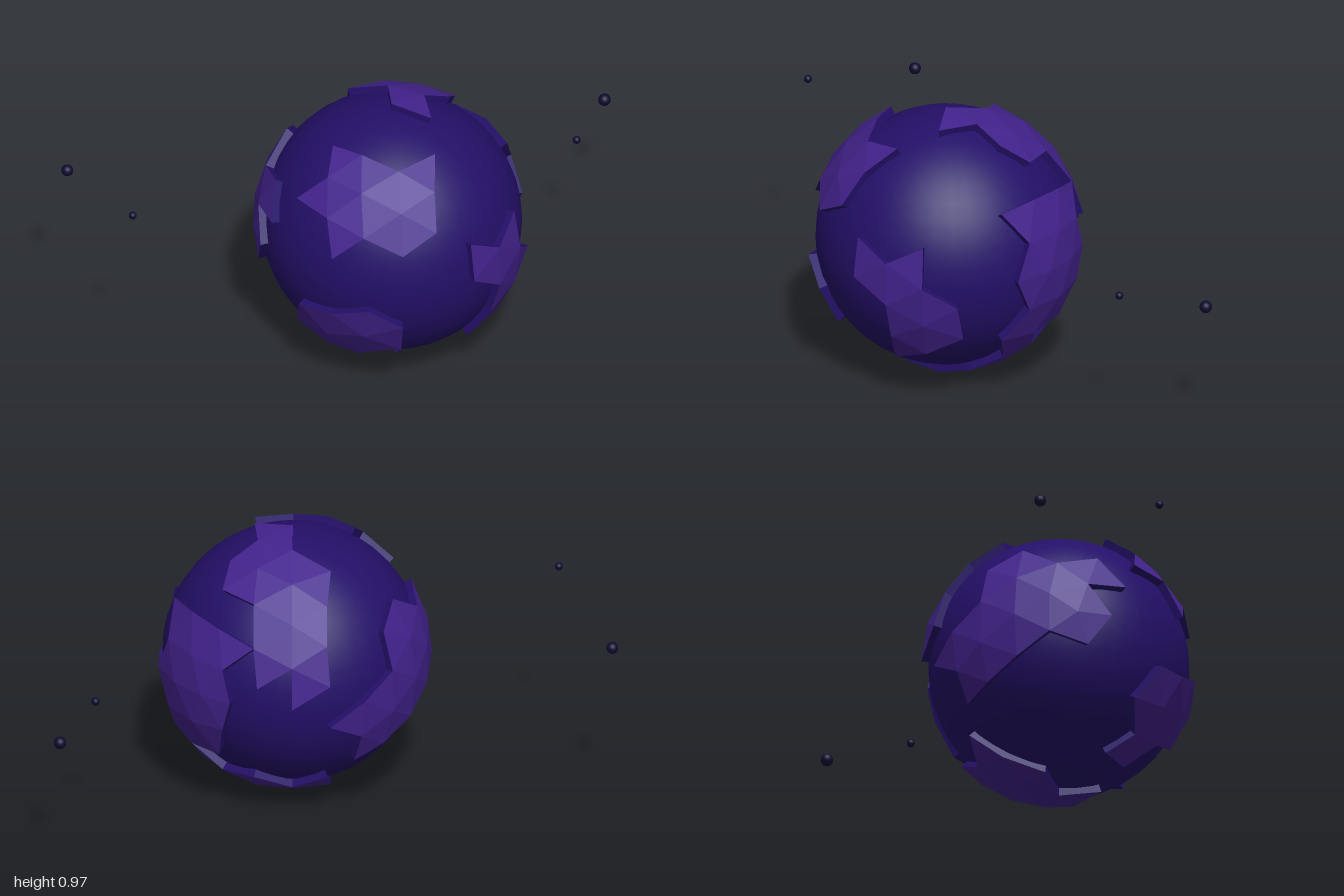
import * as THREE from 'three';

const CENTRE = new THREE.Vector3(-0.08, 0.485, 0.155);
const CORE_R = 0.456, PLATE_R = 0.485;

const coreMat = new THREE.MeshStandardMaterial({ color: 0x240f68 });
const wallMat = new THREE.MeshStandardMaterial({ color: 0x240f68, flatShading: true });
const plateMat = new THREE.MeshStandardMaterial({ color: 0x42228c, flatShading: true });
const moonMat = new THREE.MeshStandardMaterial({ color: 0x0d0a30 });

// Projection planes (right, up, facing) on which the plate outlines are drawn
const plane = (r, u, d) => [r, u, d].map(v => new THREE.Vector3(...v));
const SIDE = plane([0, 0, 1], [0, 1, 0], [1, 0, 0]);
const TOP = plane([1, 0, 0], [0, 0, 1], [0, 1, 0]);
const BOTTOM = plane([1, 0, 0], [0, 0, 1], [0, -1, 0]);
const FRONT = plane([1, 0, 0], [0, 1, 0], [0, 0, 1]);
const BACK = plane([-0.83, 0, 0.55], [0.24, 0.9, 0.37], [-0.5, 0.44, -0.75]);

// Plate outlines on the unit sphere; a plate may join several patches
const PLATES = {
  leftPlate: [
    [SIDE, [[0.3, 0.52], [0, 0.55], [-0.27, 0.55], [-0.58, 0.44], [-0.45, 0.25], [-0.56, 0], [-0.45, -0.25],
      [-0.28, -0.5], [0, -0.5], [0, -0.7], [0.25, -0.72], [0.15, -0.27], [0.29, 0], [0.16, 0.26]]],
    [BOTTOM, [[0.78, 0], [0.61, -0.35], [0.14, -0.7], [-0.24, -0.33], [-0.07, 0.04], [0, 0.27], [0.4, 0.28],
      [0.75, 0.2], [0.82, 0.1]]],
  ],
  topPlate: [[TOP, [[0.03, -0.68], [0.1, -0.35], [0.155, 0.145], [0.4, -0.06], [0.66, 0.145], [0.57, -0.41],
    [0.67, -0.46], [0.69, -0.68], [0.43, -0.9], [0.26, -0.88]]]],
  frontPlate: [[FRONT, [[0.13, 0.28], [0.44, 0.29], [0.57, 0], [0.78, 0], [0.74, -0.42], [0.65, -0.5],
    [0.26, -0.59], [0.26, -0.22], [0, 0.03]]]],
  upperRightPlate: [[TOP, [[-0.53, 0], [-0.3, 0.41], [0.03, 0.7], [-0.22, 0.7], [-0.26, 0.86], [-0.42, 0.88],
    [-0.88, 0.38], [-0.75, 0.03]]]],
  lowerRightPlate: [[FRONT, [[-1.02, -0.26], [-0.46, -0.26], [-0.44, -0.5], [-0.46, -0.88], [-0.62, -0.87],
    [-1.02, -0.3]]]],
  backPlate: [[BACK, [[-0.19, 0.06], [0.6, 0.18], [0.55, -0.18], [0.66, -0.31], [0.51, -0.59], [-0.1, -0.58],
    [-0.26, -0.82], [-0.45, -0.84], [-0.66, -0.57], [-0.58, -0.4], [-0.39, -0.3]]]],
};

function insidePolygon(x, y, poly) {
  let inside = false;
  for (let i = 0, j = poly.length - 1; i < poly.length; j = i++) {
    const [xi, yi] = poly[i], [xj, yj] = poly[j];
    if ((yi > y) !== (yj > y) && x < (xj - xi) * (y - yi) / (yj - yi) + xi) inside = !inside;
  }
  return inside;
}

// All facets of a unit geodesic sphere as triples of points
function geodesicFacets() {
  const p = new THREE.IcosahedronGeometry(1, 3).attributes.position;
  const facets = [];
  for (let i = 0; i < p.count; i += 3) {
    facets.push([0, 1, 2].map(k => new THREE.Vector3().fromBufferAttribute(p, i + k)));
  }
  return facets;
}

function meshFrom(points, material, name) {
  const geo = new THREE.BufferGeometry().setFromPoints(points);
  geo.computeVertexNormals();
  const mesh = new THREE.Mesh(geo, material);
  mesh.name = name;
  return mesh;
}

// A plate: the facets inside its outline, lifted, with walls along the border
function makePlate(name, patches, facets) {
  const chosen = facets.filter(f => {
    const c = f[0].clone().add(f[1]).add(f[2]).normalize();
    return patches.some(([[r, u, d], poly]) => c.dot(d) > 0 && insidePolygon(c.dot(r), c.dot(u), poly));
  });
  const key = v => v.toArray().map(n => Math.round(n * 1000)).join();
  const edges = new Map();
  const surface = [], walls = [];
  for (const f of chosen) {
    f.forEach((a, i) => {
      const b = f[(i + 1) % 3];
      surface.push(a.clone().multiplyScalar(PLATE_R));
      edges.set(key(a) + '|' + key(b), [a, b]);
    });
  }
  for (const [a, b] of edges.values()) {
    if (edges.has(key(b) + '|' + key(a))) continue;
    const [a0, b0] = [a, b].map(v => v.clone().multiplyScalar(CORE_R - 0.02));
    const [a1, b1] = [a, b].map(v => v.clone().multiplyScalar(PLATE_R));
    walls.push(a0, b0, b1, a0, b1, a1);
  }
  const group = new THREE.Group();
  group.name = name;
  group.add(meshFrom(surface, plateMat, name + 'Surface'), meshFrom(walls, wallMat, name + 'Walls'));
  return group;
}

export function createModel() {
  const model = new THREE.Group();
  model.name = 'planet';

  // Core and crust plates
  const globe = new THREE.Group();
  globe.name = 'globe';
  globe.position.copy(CENTRE);
  const core = new THREE.Mesh(new THREE.SphereGeometry(CORE_R, 40, 24), coreMat);
  core.name = 'core';
  globe.add(core);
  const facets = geodesicFacets();
  for (const [name, patches] of Object.entries(PLATES)) globe.add(makePlate(name, patches, facets));
  model.add(globe);

  // Small moons
  const moons = [
    [-0.913, 0.606, -0.62, 0.021], [-0.986, 0.706, -0.14, 0.014],
    [0.727, 0.49, 0.153, 0.014], [0.977, 0.464, -0.02, 0.022],
  ];
  moons.forEach(([x, y, z, r], i) => {
    const moon = new THREE.Mesh(new THREE.SphereGeometry(r, 16, 12), moonMat);
    moon.name = 'moon' + (i + 1);
    moon.position.set(x, y, z);
    model.add(moon);
  });
  return model;
}
